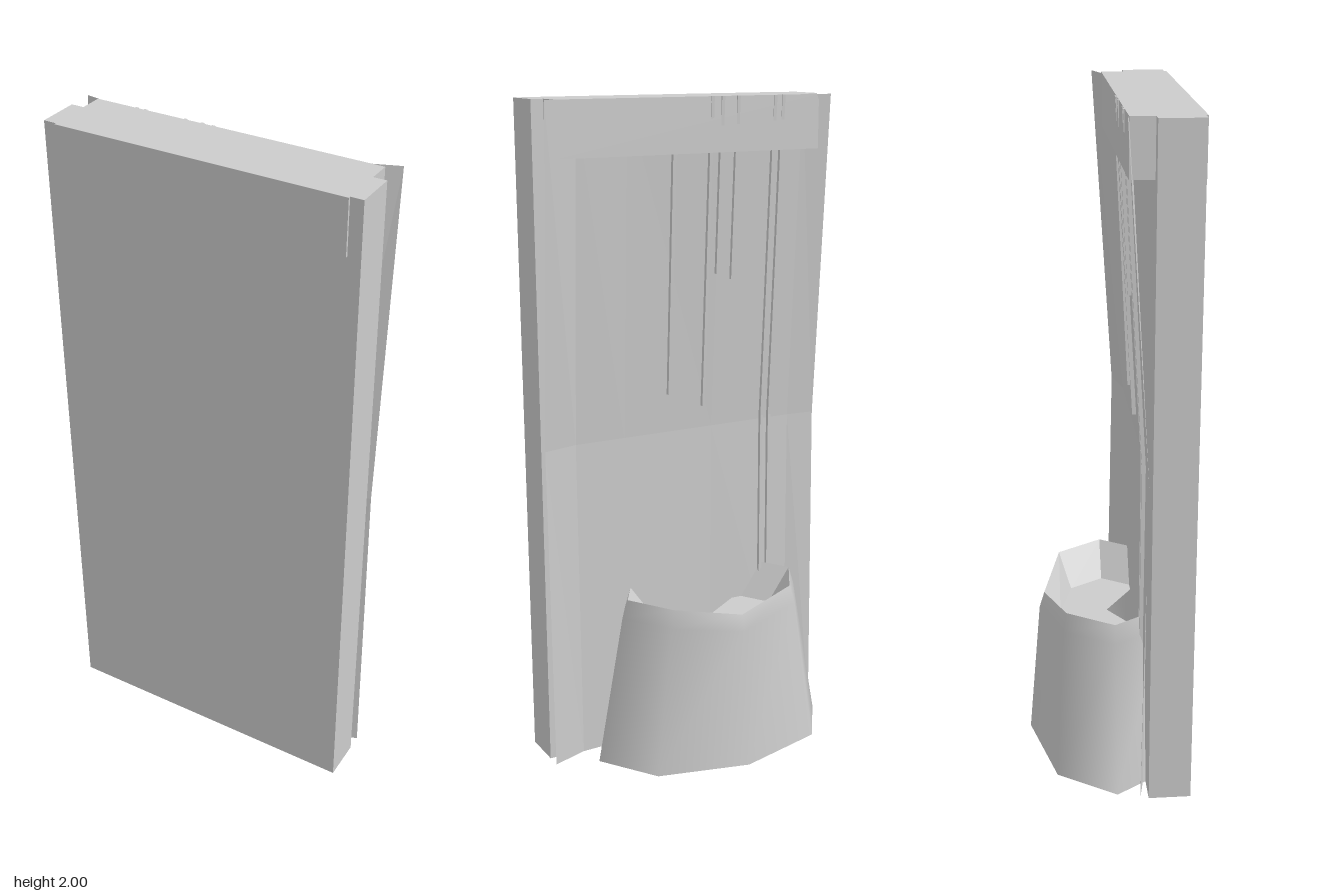
import * as THREE from 'three';

const grey = (opts = {}) => new THREE.MeshStandardMaterial({ color: 0xcccccc, ...opts });

// Backing sheet: depth (z) at each column, for the bottom, middle and top rows
const COLS = [-0.47, -0.38, -0.1, 0.2, 0.36, 0.47];
const ROWS = [
  [0.075, 0.093, 0.096, 0.096, 0.092, 0.055], // y = 0
  [0.09, 0.098, 0.098, 0.098, 0.098, 0.07],   // y = 1
  [0.025, 0.039, 0.038, 0.05, 0.045, 0.005],  // y = 2
];

function sheetZ(x, y) {
  let i = 0;
  while (i < COLS.length - 2 && x > COLS[i + 1]) i++;
  const j = y > 1 ? 1 : 0;
  const u = (x - COLS[i]) / (COLS[i + 1] - COLS[i]);
  const { lerp } = THREE.MathUtils;
  return lerp(lerp(ROWS[j][i], ROWS[j][i + 1], u), lerp(ROWS[j + 1][i], ROWS[j + 1][i + 1], u), y - j);
}

function box(name, w, y0, y1, z0, z1) {
  const m = new THREE.Mesh(new THREE.BoxGeometry(w, y1 - y0, z1 - z0), grey());
  m.position.set(0, (y0 + y1) / 2, (z0 + z1) / 2);
  m.name = name;
  return m;
}

function makeSheet() {
  const geo = new THREE.PlaneGeometry(1, 1, COLS.length - 1, 2);
  const p = geo.attributes.position;
  for (let k = 0; k < p.count; k++) {
    const i = k % COLS.length, y = 2 - Math.floor(k / COLS.length);
    p.setXYZ(k, COLS[i], y, ROWS[y][i]);
  }
  geo.computeVertexNormals();
  const m = new THREE.Mesh(geo, grey({ flatShading: true, side: THREE.DoubleSide }));
  m.name = 'waterSheet';
  return m;
}

// Thin trickle that follows the sheet from the top down to yEnd
function makeTrickle(x, yEnd) {
  const geo = new THREE.BoxGeometry(0.01, 1, 0.012, 1, 8, 1);
  const p = geo.attributes.position;
  for (let k = 0; k < p.count; k++) {
    const y = yEnd + (p.getY(k) + 0.5) * (2 - yEnd);
    p.setXYZ(k, x + p.getX(k), y, sheetZ(x, y) + p.getZ(k) - 0.005);
  }
  geo.computeVertexNormals();
  const m = new THREE.Mesh(geo, grey({ flatShading: true }));
  m.name = 'trickle';
  return m;
}

// Point on an eight-sided oval; the ends run on into the wall
function bowlPoint({ rx, rz, y, dip = 0 }, k) {
  const a = (k - 1) * Math.PI / 4;
  return [-0.05 + rx * Math.cos(a), y - (k === 3 ? dip : 0), 0.01 - rz * Math.sin(a)];
}

function loft(name, rings, opts) {
  const pos = [], idx = [], n = 7;
  rings.forEach((r, j) => {
    for (let k = 0; k < n; k++) {
      pos.push(...bowlPoint(r, k));
      if (j && k) {
        const a = (j - 1) * n + k - 1, b = a + 1, c = a + n, d = c + 1;
        idx.push(a, b, d, a, d, c);
      }
    }
  });
  const geo = new THREE.BufferGeometry();
  geo.setAttribute('position', new THREE.Float32BufferAttribute(pos, 3));
  geo.setIndex(idx);
  geo.computeVertexNormals();
  const m = new THREE.Mesh(geo, grey({ side: THREE.DoubleSide, ...opts }));
  m.name = name;
  return m;
}

function makeBowl() {
  const g = new THREE.Group();
  g.name = 'bowl';
  const foot = { rx: 0.395, rz: 0.245, y: 0 };
  const shoulder = { rx: 0.308, rz: 0.21, y: 0.46, dip: 0.03 };
  const rim = { rx: 0.29, rz: 0.195, y: 0.515, dip: 0.035 };
  const floor = { rx: 0.215, rz: 0.145, y: 0.41 };
  const centre = { rx: 0, rz: 0, y: 0.41 };
  g.add(loft('bowlOuterWall', [foot, shoulder, rim]));
  g.add(loft('bowlInnerWall', [rim, floor], { flatShading: true }));
  g.add(loft('bowlFloor', [floor, centre], { flatShading: true }));
  return g;
}

export function createModel() {
  const model = new THREE.Group();
  model.name = 'wallFountain';
  model.add(box('panel', 0.94, 0, 2, 0.1, 0.225));
  model.add(box('header', 0.864, 1.84, 2, 0.032, 0.232));
  model.add(makeSheet());
  model.add(makeBowl());

  const trickles = [[-0.306, 0.42], [-0.278, 0.42], [-0.152, 1.46], [-0.1, 1.48], [-0.066, 1.07], [0.053, 1.12]];
  for (const [x, yEnd] of trickles) model.add(makeTrickle(x, yEnd));
  return model;
}
